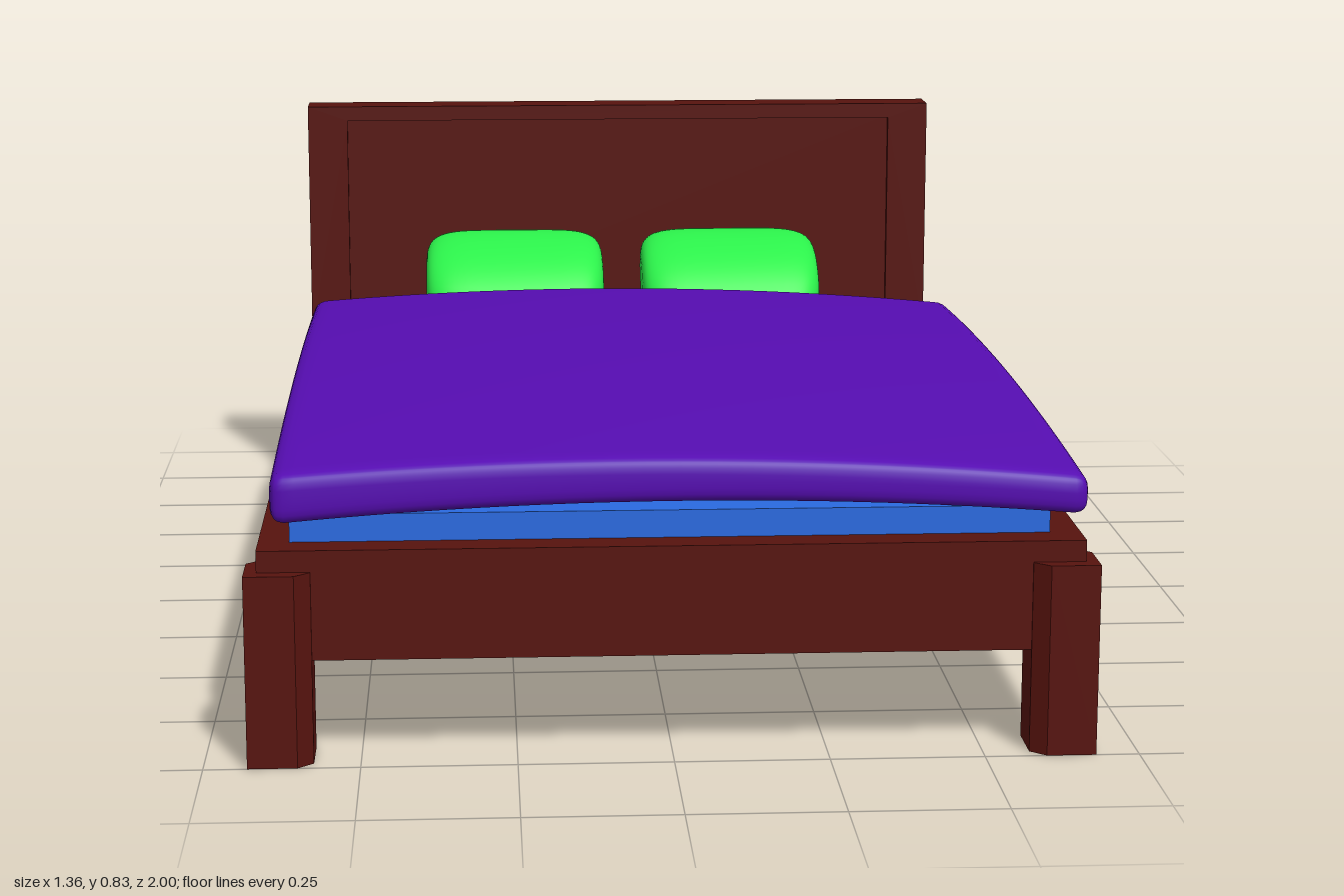
import * as THREE from 'three';
import { mergeVertices } from 'three/addons/utils/BufferGeometryUtils.js';

const wood = new THREE.MeshStandardMaterial({ color: 0x57130e });
const sheet = new THREE.MeshStandardMaterial({ color: 0x2a6ae0 });
const purple = new THREE.MeshStandardMaterial({ color: 0x560db2 });
const green = new THREE.MeshStandardMaterial({ color: 0x2bf04a });

function add(parent, name, geometry, material) {
  const mesh = new THREE.Mesh(geometry, material);
  mesh.name = name;
  parent.add(mesh);
  return mesh;
}

// Box given by its extents on each axis
function block(parent, name, material, [x0, x1], [y0, y1], [z0, z1]) {
  const mesh = add(parent, name, new THREE.BoxGeometry(x1 - x0, y1 - y0, z1 - z0), material);
  mesh.position.set((x0 + x1) / 2, (y0 + y1) / 2, (z0 + z1) / 2);
  return mesh;
}

// Moves every vertex by a rule, then welds and smooths
function reshape(geometry, rule) {
  const p = geometry.attributes.position;
  const v = new THREE.Vector3();
  for (let i = 0; i < p.count; i++) {
    rule(v.fromBufferAttribute(p, i));
    p.setXYZ(i, v.x, v.y, v.z);
  }
  geometry.deleteAttribute('uv');
  geometry.deleteAttribute('normal');
  const welded = mergeVertices(geometry, 1e-5);
  welded.computeVertexNormals();
  return welded;
}

// Square post with two chamfered corners, mirrored to each corner of the bed
function legGeometry(sx, sz) {
  const outline = [[0.575, 0.895], [0.655, 0.895], [0.68, 0.918], [0.68, 1], [0.6, 1], [0.575, 0.977]];
  const shape = new THREE.Shape(outline.map(([x, z]) => new THREE.Vector2(x * sx, -z * sz)));
  return new THREE.ExtrudeGeometry(shape, { depth: 0.315, bevelEnabled: false }).rotateX(-Math.PI / 2);
}

// Thick cover with rounded rims, sagging towards its edges
function blanketGeometry() {
  const half = new THREE.Vector3(0.655, 0.038, 0.7825);
  const r = 0.025;
  const inner = half.clone().subScalar(r);
  const core = new THREE.Vector3();
  return reshape(new THREE.BoxGeometry(2, 2, 2, 36, 10, 36), (v) => {
    // Crowd the vertices near the rims
    v.set(Math.sin(v.x * Math.PI / 2), Math.sin(v.y * Math.PI / 2), Math.sin(v.z * Math.PI / 2)).multiply(half);
    core.copy(v).clamp(inner.clone().negate(), inner);
    v.sub(core).setLength(r).add(core);
    const u = v.x / half.x, w = v.z / half.z;
    const tilt = v.y > 0 ? 0.008 * u : 0;
    v.y += 0.469 - 0.03 * u * u - 0.022 * w * w - tilt;
    v.x += 0.015;
    v.z += 0.1625;
  });
}

// Elliptical cushion with softly rounded ends
function pillowGeometry() {
  const sphere = new THREE.SphereGeometry(1, 40, 32).rotateZ(Math.PI / 2);
  return reshape(sphere, (v) => {
    const radial = Math.hypot(v.y, v.z);
    const k = radial > 1e-6 ? Math.pow(radial, 0.4) / radial : 0;
    v.set(Math.sign(v.x) * Math.pow(Math.abs(v.x), 0.4) * 0.186, v.y * k * 0.075, v.z * k * 0.15);
  });
}

export function createModel() {
  const bed = new THREE.Group();
  bed.name = 'bed';

  // Base and legs
  block(bed, 'bedBase', wood, [-0.66, 0.66], [0.17, 0.35], [-0.975, 0.975]);
  for (const sx of [-1, 1]) {
    for (const sz of [-1, 1]) {
      add(bed, `${sz > 0 ? 'front' : 'back'}${sx > 0 ? 'Left' : 'Right'}Leg`, legGeometry(sx, sz), wood);
    }
  }

  // Headboard: frame with a panel recessed on both faces
  const headboard = new THREE.Group();
  headboard.name = 'headboard';
  bed.add(headboard);
  const depth = [-0.975, -0.892];
  const frame = new THREE.Shape().moveTo(-0.66, 0.35).lineTo(0.66, 0.35).lineTo(0.66, 0.83).lineTo(-0.66, 0.83);
  frame.holes.push(new THREE.Path().moveTo(-0.577, 0.352).lineTo(-0.577, 0.8).lineTo(0.577, 0.8).lineTo(0.577, 0.352));
  const frameMesh = add(headboard, 'headboardFrame',
    new THREE.ExtrudeGeometry(frame, { depth: depth[1] - depth[0], bevelEnabled: false }), wood);
  frameMesh.position.z = depth[0];
  block(headboard, 'headboardPanel', wood, [-0.58, 0.58], [0.345, 0.805], [depth[0] + 0.012, depth[1] - 0.012]);

  // Bedding
  block(bed, 'mattress', sheet, [-0.61, 0.61], [0.34, 0.395], [-0.89, 0.92]);
  add(bed, 'blanket', blanketGeometry(), purple);
  for (const side of [-1, 1]) {
    const pillow = add(bed, side > 0 ? 'leftPillow' : 'rightPillow', pillowGeometry(), green);
    pillow.position.set(side * 0.226, 0.48, -0.757);
    pillow.rotation.x = 0.43;
  }
  return bed;
}
